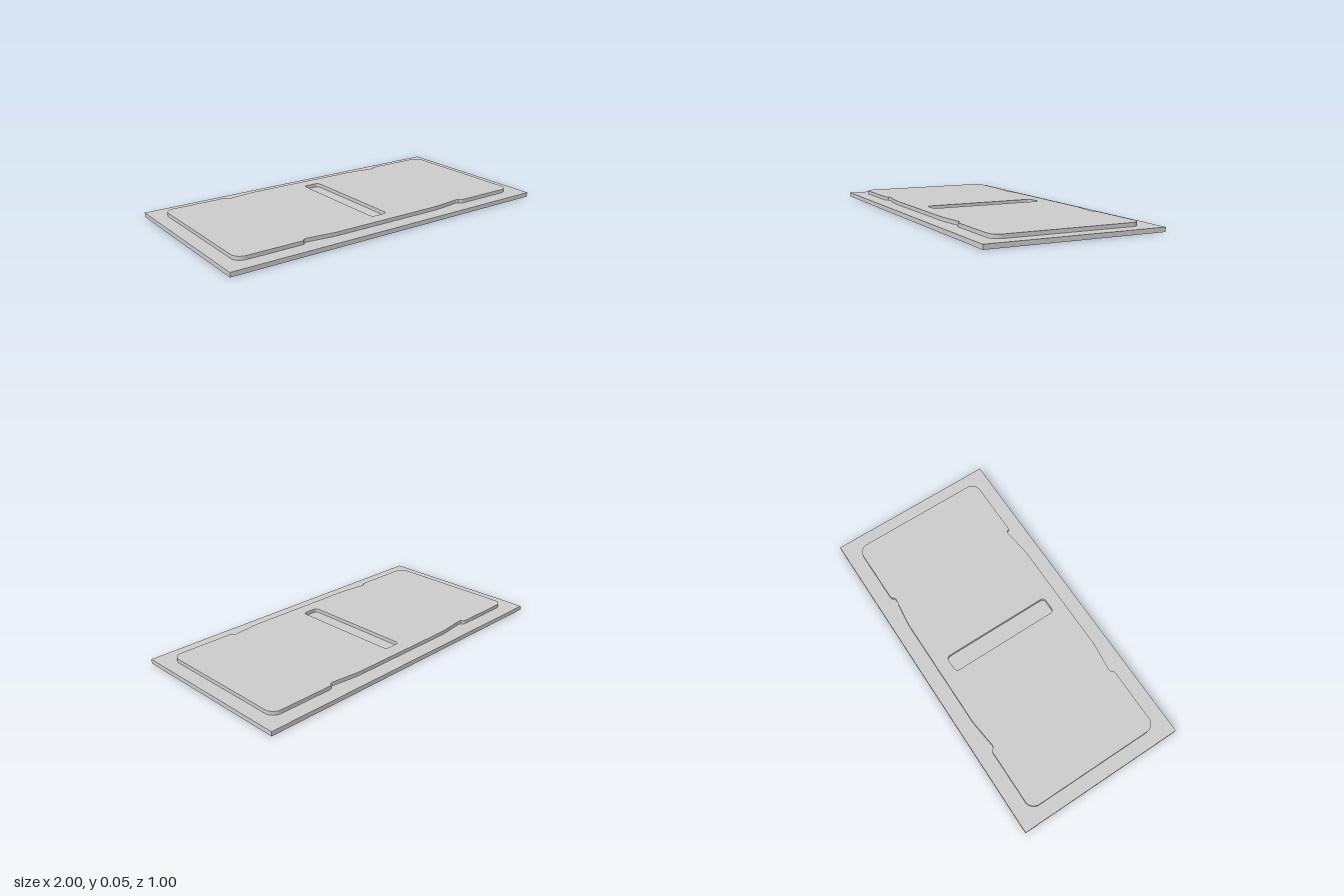
import * as THREE from 'three';

const BASE_H = 0.025, PLATE_H = 0.021;
const HX = 0.92, HZ = 0.413, R = 0.055; // raised plate half sizes and corner radius

// Rounded rectangle path, used for the slot
function roundedRect(path, hx, hz, r) {
  path.moveTo(hx, -hz + r);
  path.lineTo(hx, hz - r);
  path.absarc(hx - r, hz - r, r, 0, Math.PI / 2);
  path.absarc(-hx + r, hz - r, r, Math.PI / 2, Math.PI);
  path.absarc(-hx + r, -hz + r, r, Math.PI, Math.PI * 1.5);
  path.absarc(hx - r, -hz + r, r, Math.PI * 1.5, Math.PI * 2);
  return path;
}

// Plate outline with two tapered notches on each long edge
function plateOutline() {
  const s = new THREE.Shape();
  const notch = [[0.545, HZ], [0.535, 0.407], [0.53, 0.397], [0.515, 0.393],
    [0.375, 0.41], [0.34, HZ]];
  const mirrored = notch.map(([x, z]) => [-x, z]).reverse();
  const edge = [...notch, ...mirrored];
  s.moveTo(HX, -HZ + R);
  s.lineTo(HX, HZ - R);
  s.absarc(HX - R, HZ - R, R, 0, Math.PI / 2);
  edge.forEach(([x, z]) => s.lineTo(x, z));
  s.absarc(-HX + R, HZ - R, R, Math.PI / 2, Math.PI);
  s.absarc(-HX + R, -HZ + R, R, Math.PI, Math.PI * 1.5);
  edge.forEach(([x, z]) => s.lineTo(-x, -z));
  s.absarc(HX - R, -HZ + R, R, Math.PI * 1.5, Math.PI * 2);
  return s;
}

export function createModel() {
  const group = new THREE.Group();
  const material = new THREE.MeshStandardMaterial({ color: 0xcccccc });

  // Flat rectangular base
  const base = new THREE.Mesh(new THREE.BoxGeometry(2, BASE_H, 1), material);
  base.name = 'basePlate';
  base.position.y = BASE_H / 2;
  group.add(base);

  // Raised plate with a central slot open down to the base
  const shape = plateOutline();
  shape.holes.push(roundedRect(new THREE.Path(), 0.051, 0.334, 0.022));
  const geometry = new THREE.ExtrudeGeometry(shape, {
    depth: PLATE_H, bevelEnabled: false, curveSegments: 8,
  });
  geometry.rotateX(-Math.PI / 2);
  const plate = new THREE.Mesh(geometry, material);
  plate.name = 'raisedPlate';
  plate.position.y = BASE_H;
  group.add(plate);

  return group;
}
